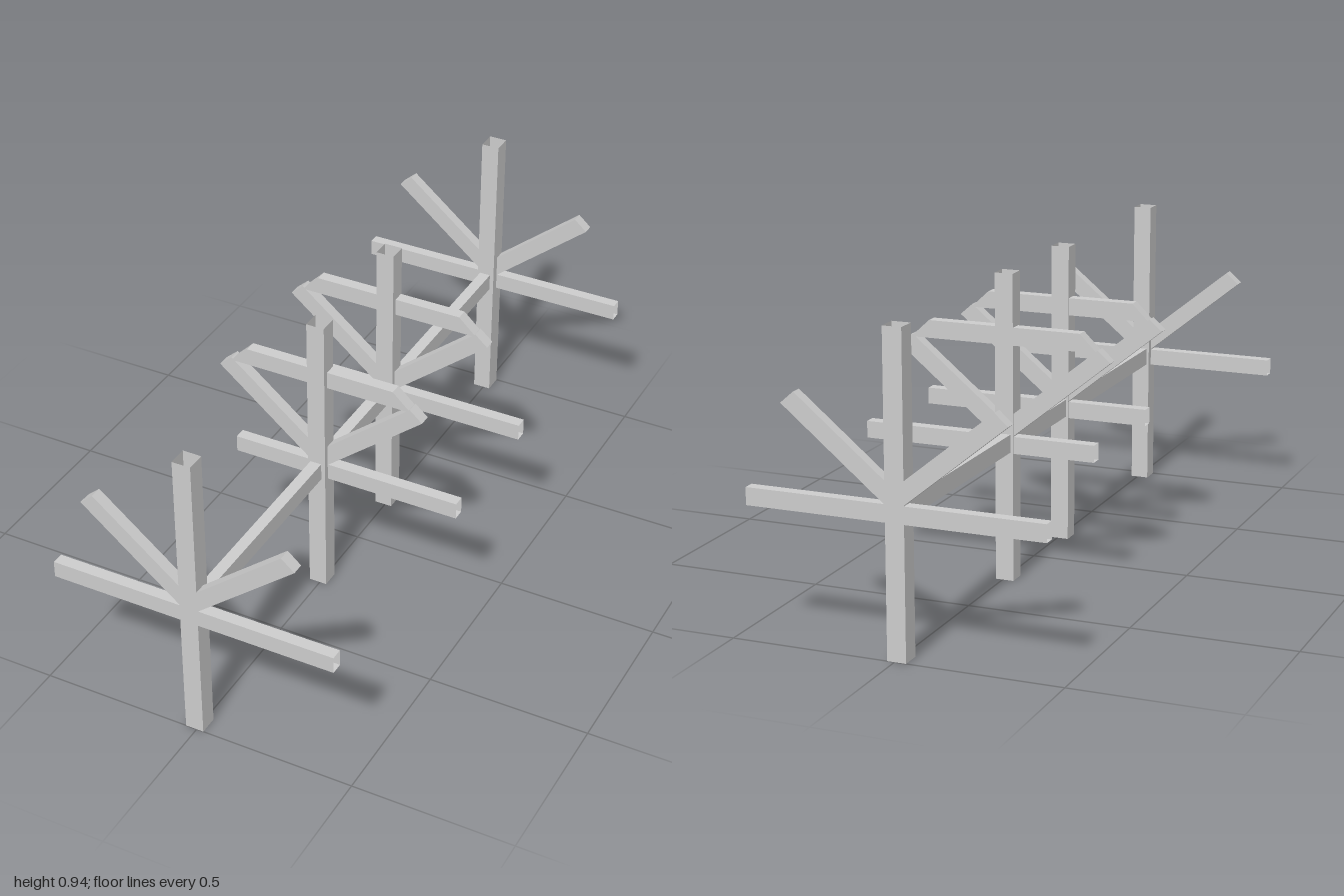
import * as THREE from 'three';

const material = new THREE.MeshStandardMaterial({
  color: 0xcccccc, flatShading: true, side: THREE.DoubleSide,
});

// Box from its min/max corners; openAxis (0 x, 1 y, 2 z) drops both end faces to leave a hollow tube
function tube(name, min, max, openAxis) {
  const geo = new THREE.BoxGeometry(...max.map((v, i) => v - min[i]));
  const index = Array.from(geo.index.array);
  index.splice(openAxis * 12, 12);
  geo.setIndex(index);
  geo.translate(...max.map((v, i) => (v + min[i]) / 2));
  const mesh = new THREE.Mesh(geo, material);
  mesh.name = name;
  return mesh;
}

// Flat outline in x,y extruded between two depths
function plate(name, points, z0, z1) {
  const shape = new THREE.Shape(points.map(([x, y]) => new THREE.Vector2(x, y)));
  const geo = new THREE.ExtrudeGeometry(shape, { depth: z1 - z0, bevelEnabled: false });
  geo.translate(0, 0, z0);
  const mesh = new THREE.Mesh(geo, material);
  mesh.name = name;
  return mesh;
}

// One upright with its horizontal arm, two raised braces and, on inner frames, a top tie
function frame({ name, post, arm, left, tie }) {
  const group = new THREE.Group();
  group.name = name;
  group.add(tube('post', [-0.035, 0, post[0]], [0.022, 0.94, post[1]], 1));
  group.add(tube('arm', [left, 0.396, arm[0]], [0.446, 0.448, arm[1]], 0));

  for (const side of [1, -1]) {
    const outline = [[0, 0.425], [0.335, 0.699], [0.295, 0.734], [0, 0.493]];
    group.add(plate(side > 0 ? 'leftBrace' : 'rightBrace',
      outline.map(([x, y]) => [side * x - 0.004, y]), arm[0], arm[1]));
  }
  if (tie) {
    group.add(plate('topTie',
      [[-0.298, 0.725], [0.294, 0.725], [0.236, 0.779], [-0.244, 0.779]], arm[0], arm[1]));
  }
  return group;
}

export function createModel() {
  const model = new THREE.Group();
  model.name = 'rackFrame';

  const frames = [
    { name: 'frontFrame', post: [0.942, 1], arm: [0.963, 1], left: -0.448 },
    { name: 'frontInnerFrame', post: [0.197, 0.253], arm: [0.199, 0.236], left: -0.29, tie: true },
    { name: 'backInnerFrame', post: [-0.247, -0.191], arm: [-0.244, -0.207], left: -0.29, tie: true },
    { name: 'backFrame', post: [-1, -0.94], arm: [-1, -0.965], left: -0.448 },
  ];
  for (const f of frames) model.add(frame(f));

  // Long beam joining the four uprights
  model.add(tube('spineBeam', [-0.027, 0.4, -0.96], [0.009, 0.455, 0.95], 2));
  return model;
}
